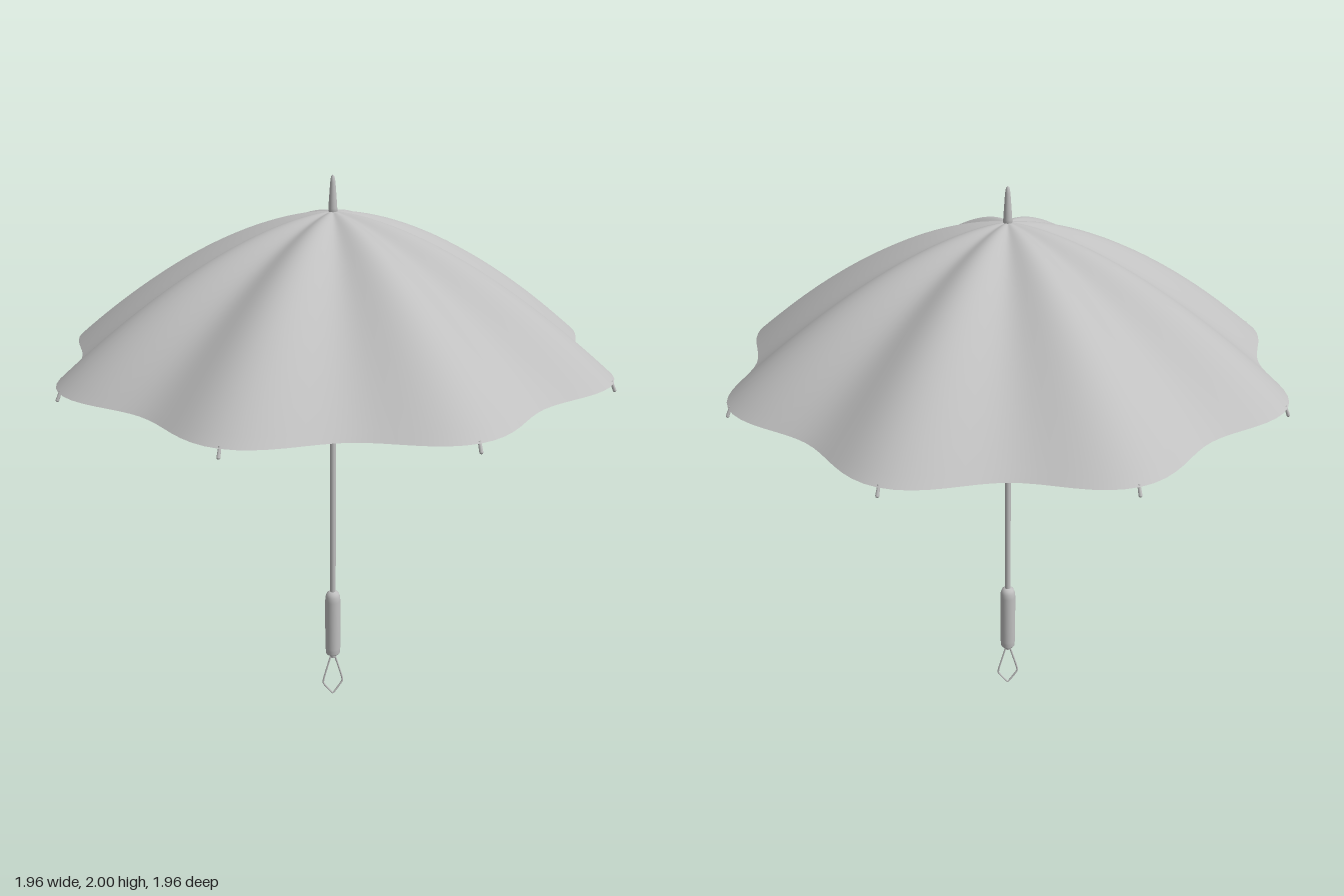
import * as THREE from 'three';

const RIBS = 8, TOP = 1.88, DROP = 0.5;

const grey = new THREE.MeshStandardMaterial({ color: 0xc0c0c0 });
grey.name = 'grey';
const fabric = new THREE.MeshStandardMaterial({ color: 0xc0c0c0, side: THREE.DoubleSide });
fabric.name = 'greyFabric';

const V = (x, y, z = 0) => new THREE.Vector3(x, y, z);

// Canopy surface: s runs from apex to rim; ridges lie over the ribs
function canopyPoint(s, a) {
  const wave = Math.cos(RIBS * a);
  const r = s * (0.92 + 0.05 * wave);
  return V(r * Math.cos(a), TOP - DROP * Math.pow(s, 1.55 + 0.1 * wave), r * Math.sin(a));
}

function canopyGeometry(rings = 28, segs = 128) {
  const pos = [0, TOP, 0], index = [];
  for (let i = 1; i <= rings; i++) {
    for (let j = 0; j < segs; j++) {
      pos.push(...canopyPoint(i / rings, (j / segs) * Math.PI * 2).toArray());
    }
  }
  const at = (i, j) => 1 + (i - 1) * segs + (j % segs);
  for (let j = 0; j < segs; j++) {
    index.push(0, at(1, j + 1), at(1, j));
    for (let i = 1; i < rings; i++) {
      const a = at(i, j), b = at(i, j + 1), c = at(i + 1, j + 1), d = at(i + 1, j);
      index.push(a, b, c, a, c, d);
    }
  }
  const g = new THREE.BufferGeometry();
  g.setAttribute('position', new THREE.Float32BufferAttribute(pos, 3));
  g.setIndex(index);
  g.computeVertexNormals();
  return g;
}

function add(parent, name, geometry, material = grey) {
  const mesh = new THREE.Mesh(geometry, material);
  mesh.name = name;
  parent.add(mesh);
  return mesh;
}

// Turned part from [radius, height] pairs, bottom to top
const turned = (points, segs = 24) =>
  new THREE.LatheGeometry(points.map(([r, y]) => new THREE.Vector2(r, y)), segs);

// Straight rod between two points
function rod(parent, name, a, b, r0, r1 = r0) {
  const mesh = add(parent, name, new THREE.CylinderGeometry(r1, r0, a.distanceTo(b), 8));
  mesh.position.copy(a).lerp(b, 0.5);
  mesh.quaternion.setFromUnitVectors(V(0, 1), b.clone().sub(a).normalize());
}

export function createModel() {
  const model = new THREE.Group();
  model.name = 'umbrella';

  add(model, 'canopy', canopyGeometry(), fabric);

  // Ferrule on top
  add(model, 'ferrule', turned([[0, 1.86], [0.015, 1.86], [0.015, 1.89], [0.013, 1.92],
    [0.009, 1.975], [0.006, 1.994], [0, 2]]));

  // Telescoping shaft with a collar at the joint
  add(model, 'upperShaft', new THREE.CylinderGeometry(0.008, 0.008, 0.72, 16)).position.y = 1.51;
  add(model, 'lowerShaft', turned([[0, 0.4], [0.011, 0.4], [0.011, 1.13], [0.013, 1.135],
    [0.013, 1.155], [0.011, 1.165], [0.008, 1.17]], 16));

  // Hub and sliding runner
  add(model, 'hub', turned([[0, 1.83], [0.016, 1.83], [0.018, 1.84], [0.018, 1.865], [0, 1.87]]));
  add(model, 'runner', turned([[0.008, 1.355], [0.015, 1.355], [0.015, 1.375], [0.019, 1.38],
    [0.019, 1.42], [0.015, 1.425], [0.015, 1.445], [0.008, 1.45]]));

  // Grip
  add(model, 'grip', turned([[0, 0.183], [0.025, 0.183], [0.027, 0.187], [0.027, 0.2],
    [0.029, 0.21], [0.029, 0.41], [0.027, 0.43], [0.022, 0.443], [0.012, 0.45], [0, 0.451]]));

  // Wrist loop, turned sideways a little
  const half = [[0.006, 0.178], [0.02, 0.13], [0.033, 0.085], [0.038, 0.055]];
  const loop = [...half, [0, 0.005], ...half.slice().reverse().map(([x, y]) => [-x, y])];
  const loopCurve = new THREE.CatmullRomCurve3(loop.map(([x, y]) => V(x, y)), false, 'catmullrom', 0.15);
  add(model, 'wristLoop', new THREE.TubeGeometry(loopCurve, 64, 0.0035, 8)).rotation.y = 0.58;
  add(model, 'loopAnchor', new THREE.CylinderGeometry(0.012, 0.009, 0.02, 16)).position.y = 0.175;

  // Ribs with end tips and stretchers
  const ribCurve = new THREE.CatmullRomCurve3(Array.from({ length: 11 }, (_, i) =>
    canopyPoint(0.015 + 0.98 * i / 10, 0).add(V(-0.002, -0.006))));
  const ribGeometry = new THREE.TubeGeometry(ribCurve, 32, 0.0045, 6);
  const joint = canopyPoint(0.475, 0).add(V(0, -0.009));
  for (let i = 0; i < RIBS; i++) {
    const arm = new THREE.Group();
    arm.name = 'ribAssembly';
    arm.rotation.y = (i / RIBS) * Math.PI * 2;
    add(arm, 'rib', ribGeometry);
    rod(arm, 'ribTip', V(0.961, 1.385), V(0.974, 1.355), 0.005, 0.006);
    add(arm, 'ribTipEnd', new THREE.SphereGeometry(0.006, 10, 8)).position.set(0.974, 1.355, 0);
    rod(arm, 'stretcher', V(0.014, 1.425), joint, 0.0035);
    add(arm, 'stretcherJoint', new THREE.SphereGeometry(0.006, 8, 6)).position.copy(joint);
    model.add(arm);
  }
  return model;
}
